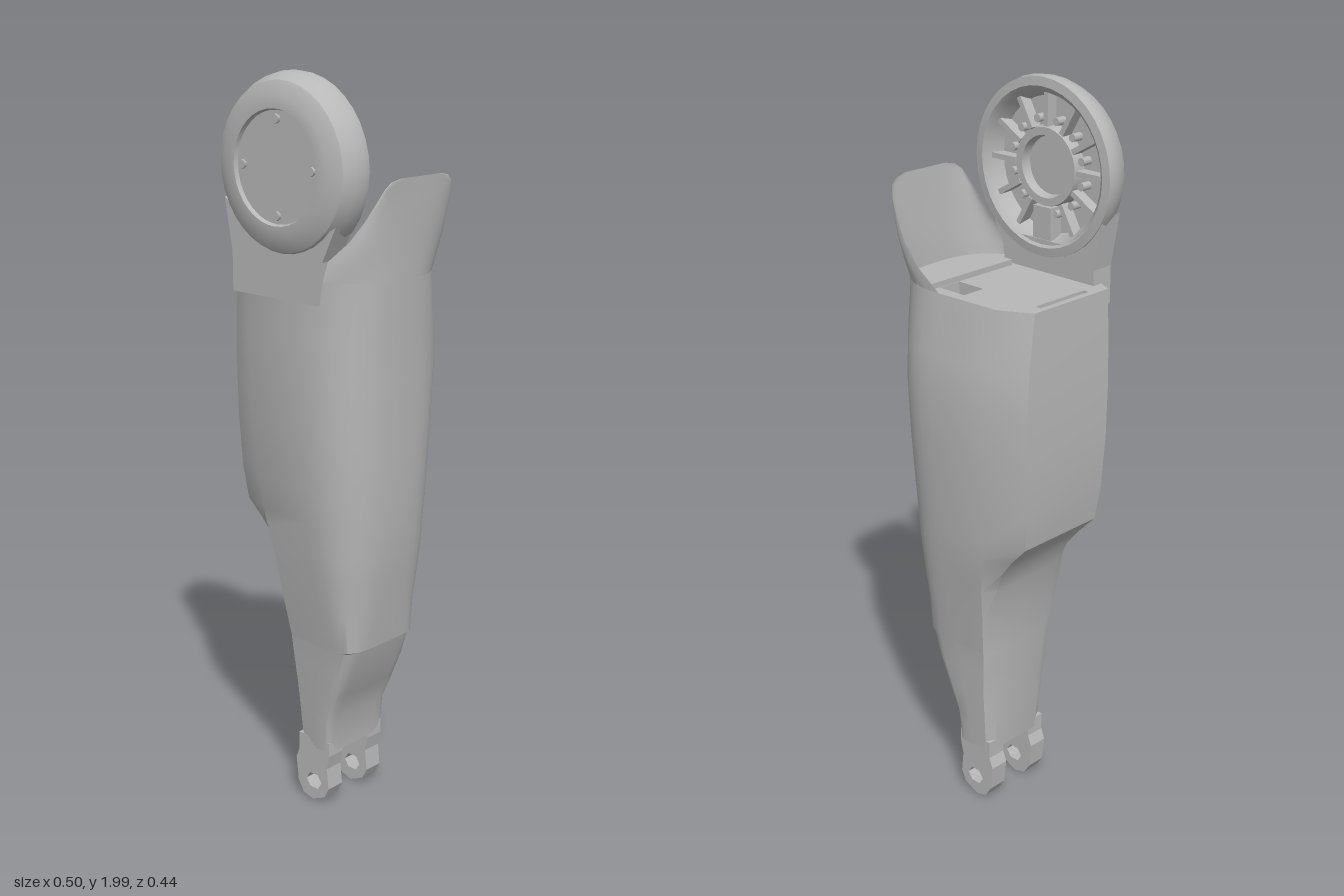
import * as THREE from 'three';
import { toCreasedNormals } from 'three/addons/utils/BufferGeometryUtils.js';

const grey = new THREE.MeshStandardMaterial({ color: 0xb8b8b8, side: THREE.DoubleSide });
grey.name = 'satin grey';

function add(parent, name, geometry, x = 0, y = 0, z = 0) {
  const mesh = new THREE.Mesh(geometry, grey);
  mesh.name = name;
  mesh.position.set(x, y, z);
  parent.add(mesh);
  return mesh;
}

// Rounded calf side, from the front edge round to the back edge
function calfArc(xM, xR, zF, zB, n) {
  const pts = [], mid = (zF + zB) / 2, half = (zF - zB) / 2, steps = 20;
  for (let i = 0; i <= steps; i++) {
    const a = Math.PI / 2 - (Math.PI * i) / steps;
    const c = Math.max(0, Math.cos(a)), s = Math.sin(a);
    pts.push([xM + (xR - xM) * c ** (2 / n), mid + half * Math.sign(s) * Math.abs(s) ** (2 / n)]);
  }
  return pts;
}

// Whole shin section: flat knee side, chamfers, rounded calf
function shinRing([, xL, xC, xR, zF, zB, n]) {
  const mid = (zF + zB) / 2, half = (zF - zB) / 2;
  return [
    [xL, mid + half * 0.72], [xC, mid + half * 0.96],
    ...calfArc((xC + xR) / 2, xR, zF, zB, n),
    [xC, mid - half * 0.96], [xL, mid - half * 0.72],
  ];
}

function loft(rings, heights, closed, crease = 0.5) {
  const pos = [], idx = [], n = rings[0].length;
  rings.forEach((ring, i) => ring.forEach(([x, z]) => pos.push(x, heights[i], z)));
  for (let i = 0; i < rings.length - 1; i++) {
    for (let j = 0; j < (closed ? n : n - 1); j++) {
      const a = i * n + j, b = i * n + ((j + 1) % n);
      idx.push(a, b, b + n, a, b + n, a + n);
    }
  }
  const g = new THREE.BufferGeometry();
  g.setAttribute('position', new THREE.Float32BufferAttribute(pos, 3));
  g.setIndex(idx);
  return toCreasedNormals(g, crease);
}

const toShape = (pts) => new THREE.Shape(pts.map(([x, y]) => new THREE.Vector2(x, y)));
const ringShape = (ring) => toShape(ring.map(([x, z]) => [x, -z]));

function rectHole(x0, x1, z0, z1) {
  return new THREE.Path([[x0, z0], [x0, z1], [x1, z1], [x1, z0]].map(([x, z]) => new THREE.Vector2(x, -z)));
}

function plate(pts, depth, hole) {
  const shape = toShape(pts);
  if (hole) shape.holes.push(hole);
  return new THREE.ExtrudeGeometry(shape, { depth, bevelEnabled: false });
}

export function createModel() {
  const model = new THREE.Group();
  model.name = 'lowerLeg';

  // Shin: height, knee x, crease x, calf x, front z, back z, squareness
  const sections = [
    [0.17, -0.07, -0.055, 0.043, 0.095, -0.12, 9],
    [0.27, -0.072, -0.058, 0.05, 0.105, -0.128, 9],
    [0.35, -0.074, -0.06, 0.085, 0.113, -0.134, 8],
    [0.42, -0.077, -0.065, 0.115, 0.12, -0.139, 7],
    [0.494, -0.082, -0.07, 0.138, 0.127, -0.145, 6],
    [0.5, -0.082, -0.07, 0.152, 0.128, -0.146, 5],
    [0.6, -0.092, -0.08, 0.167, 0.145, -0.158, 3.4],
    [0.7, -0.11, -0.09, 0.182, 0.16, -0.173, 3],
    [0.76, -0.135, -0.1, 0.19, 0.168, -0.181, 2.8],
    [0.81, -0.175, -0.11, 0.195, 0.174, -0.187, 2.7],
    [0.86, -0.222, -0.12, 0.2, 0.18, -0.192, 2.6],
    [0.95, -0.235, -0.13, 0.205, 0.19, -0.2, 2.6],
    [1.1, -0.243, -0.14, 0.211, 0.198, -0.211, 2.6],
    [1.25, -0.245, -0.145, 0.216, 0.2, -0.216, 2.6],
    [1.35, -0.244, -0.15, 0.22, 0.197, -0.208, 2.6],
    [1.5, -0.24, -0.155, 0.23, 0.19, -0.182, 2.6],
  ];
  const rings = sections.map(shinRing);
  add(model, 'shinShell', loft(rings, sections.map((s) => s[0]), true));
  const bottom = new THREE.ShapeGeometry(ringShape(rings[0])).rotateX(-Math.PI / 2);
  const bottomIndex = Array.from(bottom.index.array).reverse();
  bottom.setIndex(bottomIndex);
  bottom.computeVertexNormals();
  add(model, 'ankleUnderside', bottom, 0, 0.17, 0);

  // Top deck with a slot and a cable pocket
  const deck = ringShape(rings[rings.length - 1]);
  const pockets = [[-0.222, -0.205, -0.09, 0.085], [-0.018, 0.068, -0.148, -0.08]];
  pockets.forEach((p) => deck.holes.push(rectHole(...p)));
  add(model, 'topDeck', new THREE.ShapeGeometry(deck).rotateX(-Math.PI / 2), 0, 1.5, 0);
  pockets.forEach(([x0, x1, z0, z1]) => {
    const box = new THREE.BoxGeometry(x1 - x0, 0.14, z1 - z0);
    const faces = Array.from(box.index.array);
    faces.splice(12, 6); // open top
    box.setIndex(faces);
    add(model, 'deckPocket', box, (x0 + x1) / 2, 1.43, (z0 + z1) / 2);
  });
  add(model, 'deckRail', new THREE.BoxGeometry(0.05, 0.02, 0.29), 0.095, 1.505, -0.03);

  // Calf fin rising above the deck: height, arc start x, outer x, front z, back z
  const fin = [
    [1.5, 0.0375, 0.23, 0.19, -0.182],
    [1.55, 0.115, 0.232, 0.172, -0.178],
    [1.6, 0.165, 0.235, 0.15, -0.173],
    [1.65, 0.197, 0.239, 0.13, -0.167],
    [1.7, 0.222, 0.242, 0.112, -0.16],
    [1.73, 0.236, 0.244, 0.1, -0.148],
    [1.745, 0.241, 0.245, 0.083, -0.13],
    [1.752, 0.244, 0.2455, 0.05, -0.1],
  ];
  const finRings = fin.map(([, xM, xR, zF, zB]) => calfArc(xM, xR, zF, zB, 2.6));
  add(model, 'calfFin', loft(finRings, fin.map((f) => f[0]), false, 0.8));

  // Neck joining the shin front to the knee disc
  const neck = [[-0.2, 1.44], [0.1, 1.44], [0.115, 1.55], [0.16, 1.64], [0.06, 1.585],
    [-0.1, 1.585], [-0.225, 1.68], [-0.2, 1.54]];
  add(model, 'kneeNeck', plate(neck, 0.065), 0, 0, 0.128);

  // Knee disc: solid front cap, hollow back
  const knee = new THREE.Group();
  knee.name = 'kneeDisc';
  knee.position.set(-0.02, 1.77, 0);
  model.add(knee);
  const profile = [[0, 0.165], [0.075, 0.165], [0.08, 0.14], [0.1, 0.14], [0.105, 0.172], [0.175, 0.172],
    [0.19, 0.135], [0.205, 0.122], [0.228, 0.125], [0.231, 0.145], [0.226, 0.17], [0.21, 0.2],
    [0.175, 0.218], [0.143, 0.219], [0.139, 0.208], [0, 0.208]].map(([r, z]) => new THREE.Vector2(r, z));
  const disc = new THREE.LatheGeometry(profile, 36).rotateX(Math.PI / 2);
  add(knee, 'kneeHousing', toCreasedNormals(disc, 0.5));
  for (let i = 0; i < 4; i++) {
    const a = (i * Math.PI) / 2;
    const bolt = new THREE.CylinderGeometry(0.012, 0.012, 0.012, 6).rotateX(Math.PI / 2);
    add(knee, 'capBolt', bolt, 0.118 * Math.cos(a), 0.118 * Math.sin(a), 0.21);
  }
  for (let i = 0; i < 12; i++) {
    const a = (i * Math.PI) / 6;
    const rib = add(knee, 'backRib', new THREE.BoxGeometry(0.085, 0.014, 0.035),
      0.145 * Math.cos(a), 0.145 * Math.sin(a), 0.158);
    rib.rotation.z = a;
    const b = a + Math.PI / 12;
    const stud = new THREE.CylinderGeometry(0.011, 0.011, 0.03, 8).rotateX(Math.PI / 2);
    add(knee, 'backStud', stud, 0.122 * Math.cos(b), 0.122 * Math.sin(b), 0.158);
  }
  add(knee, 'backSpoke', new THREE.BoxGeometry(0.06, 0.1, 0.04), 0, -0.15, 0.15);

  // Ankle fork: two prongs with hexagonal axle holes
  const prong = [[-0.07, 0.2], [-0.07, 0.15], [-0.082, 0.12], [-0.074, 0.05], [-0.055, 0.02], [-0.02, 0.01],
    [0.025, 0.03], [0.04, 0.06], [0.034, 0.12], [0.043, 0.16], [0.043, 0.2]];
  [[0.04, 0.055], [-0.117, 0.055]].forEach(([z, depth]) => {
    const hole = new THREE.Path();
    for (let i = 0; i < 6; i++) {
      const x = -0.015 + 0.028 * Math.cos((i * Math.PI) / 3), y = 0.068 - 0.024 * Math.sin((i * Math.PI) / 3);
      if (i) hole.lineTo(x, y); else hole.moveTo(x, y);
    }
    hole.closePath();
    add(model, 'ankleProng', plate(prong, depth, hole), 0, 0, z);
  });
  return model;
}
